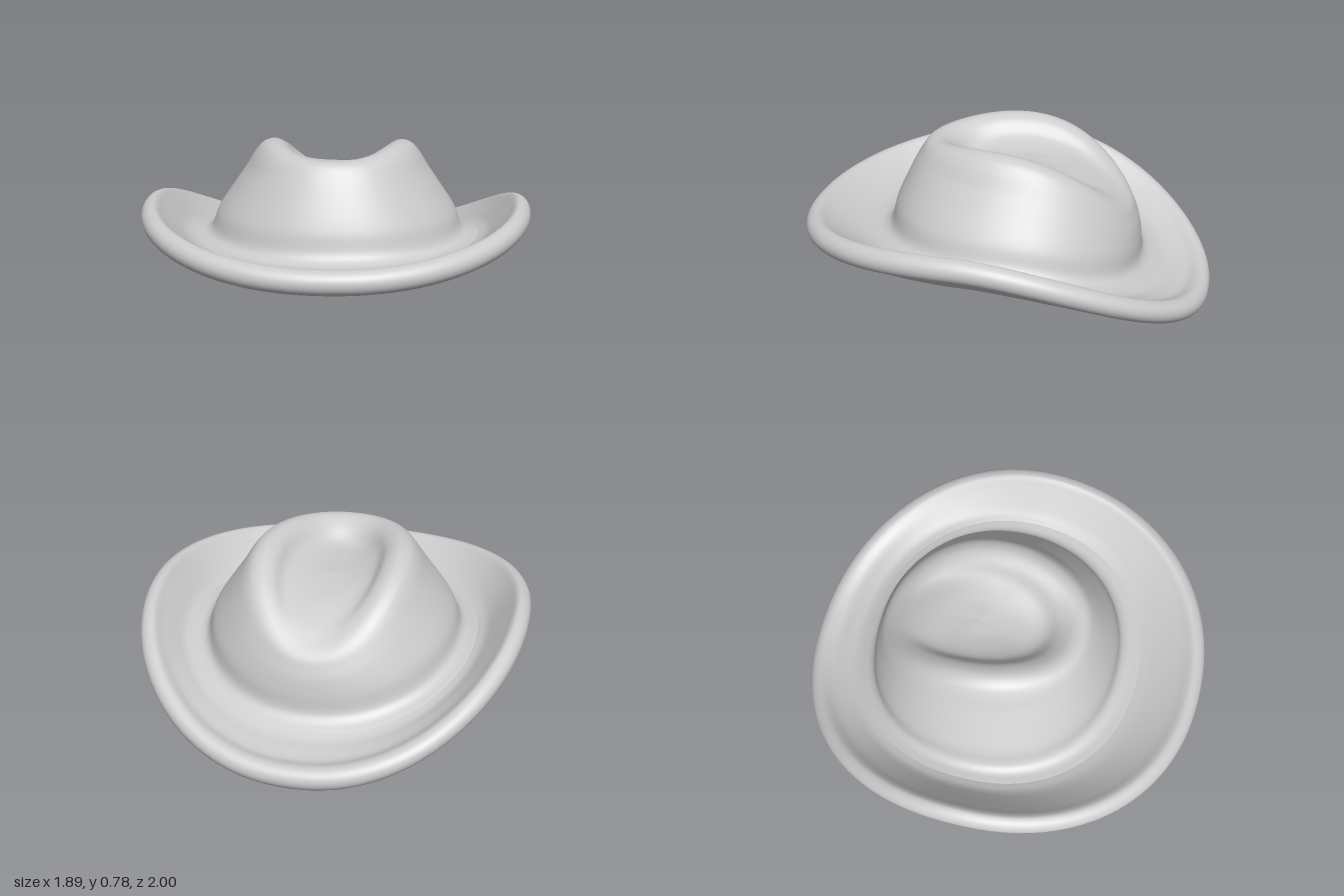
import * as THREE from 'three';

const SEGMENTS = 128;
const PEAK = 0.06; // z where the loops are highest
const material = new THREE.MeshStandardMaterial({ color: 0xcccccc, side: THREE.DoubleSide });

// A loop is [half width, front z, back z, side y, front y, back y, sharpness of the drop to the back].
function loopPoint([rx, zf, zb, ys, yf, yb, power = 1.85], a) {
  const soft = (v) => Math.sign(v) * Math.abs(v) ** 0.93;
  const mid = (zf + zb) / 2, half = (zf - zb) / 2;
  const z = mid + half * soft(Math.cos(a));
  const peak = Math.min(PEAK, mid + half * 0.5);
  const y = z > peak
    ? ys + (yf - ys) * ((z - peak) / (zf - peak)) ** 1.85
    : ys + (yb - ys) * ((peak - z) / Math.max(peak - zb, 1e-6)) ** power;
  return new THREE.Vector3(rx * soft(Math.sin(a)), y, z);
}

// Smooth skin through a stack of loops
function loft(name, loops, steps) {
  const rows = (loops.length - 1) * steps;
  const pos = new Float32Array((rows + 1) * SEGMENTS * 3);
  const index = [];
  for (let j = 0; j < SEGMENTS; j++) {
    const a = (j / SEGMENTS) * Math.PI * 2;
    const curve = new THREE.CatmullRomCurve3(loops.map((l) => loopPoint(l, a)), false, 'centripetal');
    for (let i = 0; i <= rows; i++) {
      curve.getPoint(i / rows).toArray(pos, (i * SEGMENTS + j) * 3);
      if (i === rows) continue;
      const k = (j + 1) % SEGMENTS;
      const p = i * SEGMENTS + j, q = i * SEGMENTS + k;
      index.push(p, q, q + SEGMENTS, p, q + SEGMENTS, p + SEGMENTS);
    }
  }
  const geometry = new THREE.BufferGeometry();
  geometry.setAttribute('position', new THREE.BufferAttribute(pos, 3));
  geometry.setIndex(index);
  geometry.computeVertexNormals();
  const mesh = new THREE.Mesh(geometry, material);
  mesh.name = name;
  return mesh;
}

export function createModel() {
  const group = new THREE.Group();
  group.name = 'hat';

  // Crown: raised foot, flared wall, ridge, then the dent that runs out at the back
  const crown = [
    [0.7, 0.68, -0.73, 0.345, 0.322, 0.14],
    [0.65, 0.62, -0.685, 0.345, 0.326, 0.168],
    [0.62, 0.58, -0.662, 0.365, 0.355, 0.2],
    [0.585, 0.55, -0.652, 0.45, 0.46, 0.285, 2],
    [0.505, 0.485, -0.638, 0.57, 0.6, 0.36, 2.2],
    [0.45, 0.435, -0.622, 0.65, 0.69, 0.405, 2.4],
    [0.4, 0.4, -0.607, 0.73, 0.735, 0.44, 2.4],
    [0.365, 0.37, -0.592, 0.767, 0.747, 0.46, 2.4],
    [0.315, 0.33, -0.57, 0.782, 0.745, 0.48, 2.4],
    [0.26, 0.27, -0.53, 0.76, 0.715, 0.51, 2.4],
    [0.205, 0.19, -0.47, 0.695, 0.66, 0.55, 2.2],
    [0.1, 0.06, -0.34, 0.655, 0.65, 0.61, 2],
    [0, -0.12, -0.12, 0.648, 0.648, 0.648],
  ];
  group.add(loft('crown', crown, 6));

  // Brim: underside, rolled edge, then the top side back to the crown
  const opening = [0.55, 0.5, -0.5, 0.265, 0.252, 0.085];
  const edge = [0.89, 0.94, -0.945, 0.46, 0.355, 0.057];
  const rolledEdge = [];
  for (let deg = -75; deg <= 100; deg += 25) {
    const r = 0.055 * Math.cos(THREE.MathUtils.degToRad(deg));
    const h = 0.055 * Math.sin(THREE.MathUtils.degToRad(deg));
    rolledEdge.push([edge[0] + r, edge[1] + r, edge[2] - r, edge[3] + h, edge[4] + h, edge[5] + h]);
  }
  group.add(loft('brim', [
    opening,
    [0.68, 0.67, -0.67, 0.283, 0.282, 0.06],
    [0.8, 0.83, -0.83, 0.332, 0.304, 0.033],
    ...rolledEdge,
    [0.84, 0.88, -0.885, 0.472, 0.386, 0.1],
    [0.785, 0.8, -0.82, 0.41, 0.355, 0.112],
    [0.74, 0.73, -0.77, 0.365, 0.333, 0.122],
    crown[0],
  ], 4));

  // Lining: the crown set inwards, running down to the head opening
  const inset = [0.055, 0.055, 0.05, 0.045, 0.04, 0.025, 0.01, 0, 0, 0];
  const lining = crown.slice(3).map(([rx, zf, zb, ys, yf, yb, power], i) => {
    const d = inset[i];
    return [rx - d, zf - d, zb + d, ys - 0.045, yf - 0.045, yb - 0.045, power];
  });
  group.add(loft('lining', [...lining.reverse(), opening], 5));

  return group;
}
